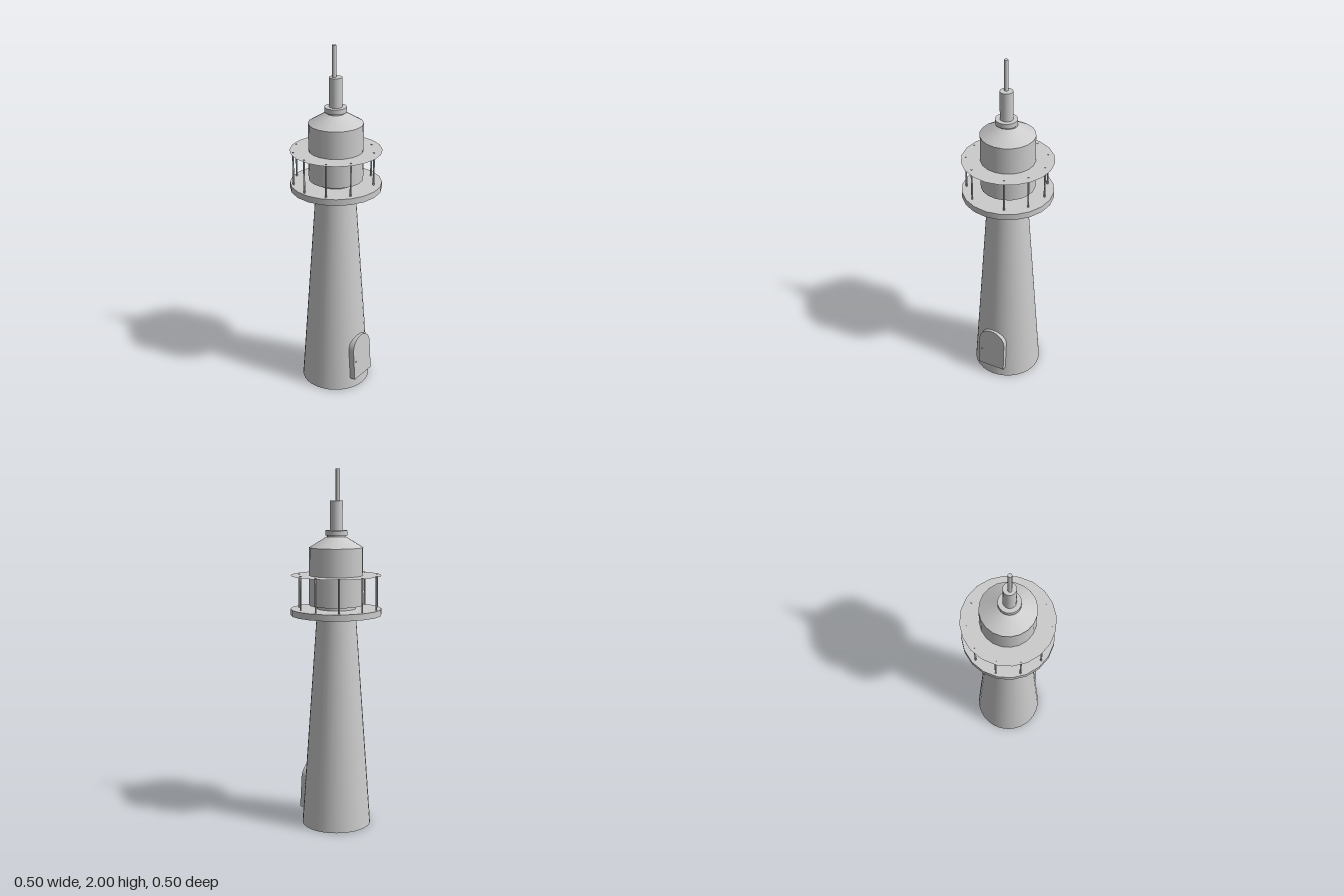
import * as THREE from 'three';

const material = new THREE.MeshStandardMaterial({ color: 0xcccccc, side: THREE.DoubleSide });

function createPart(parent, name, geometry, x = 0, y = 0, z = 0) {
  const mesh = new THREE.Mesh(geometry, material);
  mesh.name = name;
  mesh.position.set(x, y, z);
  parent.add(mesh);
  return mesh;
}

// Upright cylinder or cone between two heights
function column(parent, name, rTop, rBottom, y0, y1, sides, x = 0, z = 0, open = false) {
  const geometry = new THREE.CylinderGeometry(rTop, rBottom, y1 - y0, sides, 1, open);
  return createPart(parent, name, geometry, x, (y0 + y1) / 2, z);
}

export function createModel() {
  const model = new THREE.Group();
  model.name = 'lighthouse';

  // Hollow tapering tower, open at the foot
  column(model, 'tower', 0.105, 0.195, 0, 1.26, 32, -0.003, 0, true);

  // Gallery floor and the thin canopy disc above it
  column(model, 'galleryFloor', 0.252, 0.252, 1.205, 1.24, 20);
  const canopy = createPart(model, 'galleryCanopy', new THREE.CircleGeometry(0.252, 20), 0, 1.425, 0);
  canopy.rotation.x = -Math.PI / 2;

  // Ten posts, with a wider opening at the front
  const posts = new THREE.Group();
  posts.name = 'galleryPosts';
  model.add(posts);
  for (let i = 0; i < 10; i++) {
    const a = THREE.MathUtils.degToRad(67 - 34.1 * i);
    column(posts, 'post', 0.005, 0.005, 1.235, 1.428, 8,
      -0.009 + 0.222 * Math.cos(a), -0.009 + 0.222 * Math.sin(a));
  }

  // Lantern room and its sloping roof
  column(model, 'lanternRoom', 0.149, 0.149, 1.26, 1.578, 20);
  column(model, 'roof', 0.053, 0.149, 1.578, 1.636, 20, -0.002, 0, true);

  // Stepped finial
  column(model, 'roofNeck', 0.05, 0.05, 1.62, 1.645, 24, -0.007, 0.003);
  column(model, 'roofCollar', 0.06, 0.06, 1.643, 1.67, 24, -0.007, 0.003);
  column(model, 'chimney', 0.035, 0.035, 1.67, 1.83, 24, -0.007, 0.003);
  column(model, 'spire', 0.011, 0.011, 1.83, 2, 12, -0.012, -0.003);

  // Arched door leaning back with the tower wall
  const r = 0.082, straight = 0.178;
  const arch = new THREE.Shape();
  arch.moveTo(-r, 0);
  arch.lineTo(r, 0);
  arch.lineTo(r, straight);
  arch.absarc(0, straight, r, 0, Math.PI, false);
  arch.closePath();
  const door = new THREE.Group();
  door.name = 'doorway';
  door.position.set(-0.01, 0.067, 0.17);
  door.rotation.x = -0.06;
  model.add(door);
  createPart(door, 'door',
    new THREE.ExtrudeGeometry(arch, { depth: 0.033, bevelEnabled: false, curveSegments: 16 }));
  createPart(door, 'doorKnob', new THREE.SphereGeometry(0.004, 8, 6), -0.062, 0.11, 0.033);

  return model;
}
